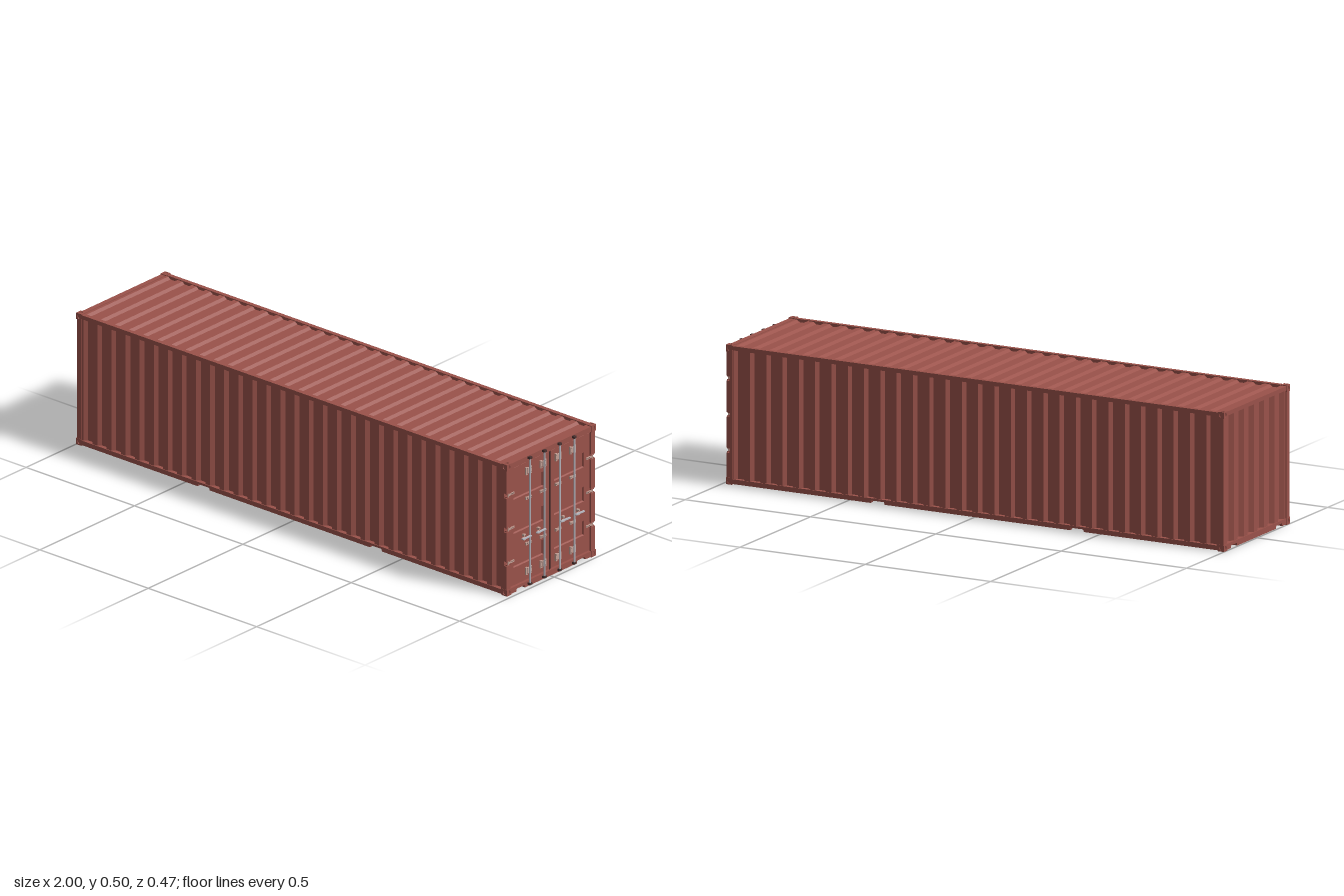
import * as THREE from 'three';

const paint = new THREE.MeshStandardMaterial({ color: 0x9a524a });
const steel = new THREE.MeshStandardMaterial({ color: 0xb8b8c0 });
const fitting = new THREE.MeshStandardMaterial({ color: 0xc4a095 });
const dark = new THREE.MeshStandardMaterial({ color: 0x4a3230 });

const W = 0.234, X0 = -1, X1 = 0.987, MID = (X0 + X1) / 2;

function add(parent, name, geo, mat = paint) {
  const m = new THREE.Mesh(geo, mat);
  m.name = name;
  parent.add(m);
  return m;
}

// Box given by its min and max on each axis
function box(parent, name, x0, x1, y0, y1, z0, z1, mat = paint) {
  const g = new THREE.BoxGeometry(Math.abs(x1 - x0), Math.abs(y1 - y0), Math.abs(z1 - z0));
  return add(parent, name, g.translate((x0 + x1) / 2, (y0 + y1) / 2, (z0 + z1) / 2), mat);
}

function extrude(shape, depth, extra = {}) {
  return new THREE.ExtrudeGeometry(shape, { depth, bevelEnabled: false, curveSegments: 10, ...extra });
}

// Trapezoid sheet: ridges at v = 0, valleys at v = -deep, extruded along z
function corrugated(length, span, n, deep) {
  const s = new THREE.Shape(), p = length / n, back = -deep - 0.004;
  s.moveTo(-length / 2, back);
  s.lineTo(length / 2, back);
  s.lineTo(length / 2, 0);
  for (let i = n - 1; i >= 0; i--) {
    const u = -length / 2 + i * p;
    s.lineTo(u + p * 0.83, 0);
    s.lineTo(u + p * 0.67, -deep);
    s.lineTo(u + p * 0.33, -deep);
    s.lineTo(u + p * 0.17, 0);
  }
  s.lineTo(-length / 2, 0);
  return extrude(s, span);
}

// Bottom rail with trapezoid notches cut from below
function notchedRail(u0, u1, y0, y1, notches, half, thick) {
  const s = new THREE.Shape();
  s.moveTo(u0, y0);
  for (const c of notches) {
    s.lineTo(c - half, y0);
    s.lineTo(c - half + 0.003, 0.012);
    s.lineTo(c + half - 0.003, 0.012);
    s.lineTo(c + half, y0);
  }
  s.lineTo(u1, y0);
  s.lineTo(u1, y1);
  s.lineTo(u0, y1);
  return extrude(s, thick);
}

// Corner block with oval holes in its three outer faces
function cornerCasting(sx, sy, sz) {
  const g = new THREE.Group(), a = 0.024, t = 0.003;
  g.name = 'cornerCasting';
  const plate = () => {
    const s = new THREE.Shape([[-1, -1], [1, -1], [1, 1], [-1, 1]]
      .map(([u, v]) => new THREE.Vector2(u * a / 2, v * a / 2)));
    s.holes.push(new THREE.Path().absellipse(0, 0, 0.006, 0.008, 0, Math.PI * 2, true));
    return extrude(s, t).translate(0, 0, a / 2 - t);
  };
  add(g, 'castingCore', new THREE.BoxGeometry(a - 2 * t, a - 2 * t, a - 2 * t));
  add(g, 'castingSide', plate().rotateY(sz > 0 ? 0 : Math.PI));
  add(g, 'castingEnd', plate().rotateY(sx * Math.PI / 2));
  add(g, 'castingCap', plate().rotateX(-sy * Math.PI / 2));
  g.position.set(sx > 0 ? X1 - a / 2 : X0 + a / 2, sy > 0 ? 0.488 : 0.012, sz * (W + 0.001 - a / 2));
  return g;
}

function rivet(parent, x, y, z) {
  add(parent, 'rivet', new THREE.CylinderGeometry(0.0013, 0.0013, 0.001, 8).rotateZ(Math.PI / 2).translate(x, y, z), dark);
}

// Door leaf with three bevelled recesses, facing +x
function doorLeaf(side) {
  const g = new THREE.Group();
  g.name = side > 0 ? 'leftDoor' : 'rightDoor';
  const rect = (C, a, b, c, d) => new C([[a, c], [b, c], [b, d], [a, d]].map(p => new THREE.Vector2(...p)));
  const s = rect(THREE.Shape, 0.002, 0.212, 0.024, 0.476);
  for (const y of [0.121, 0.25, 0.38]) s.holes.push(rect(THREE.Path, 0.025, 0.178, y - 0.025, y + 0.025));
  const geo = extrude(s, 0.002, {
    bevelEnabled: true, bevelThickness: 0.005, bevelSize: 0.003, bevelOffset: -0.003, bevelSegments: 1
  });
  geo.translate(side > 0 ? -0.214 : 0, 0, 0).rotateY(Math.PI / 2).translate(0.973, 0, 0);
  add(g, 'doorPanel', geo);
  box(g, 'recessBacking', 0.966, 0.973, 0.026, 0.474, side * 0.004, side * 0.21);

  // Locking rods, guides and handles
  for (const rz of [0.04, 0.117]) {
    const z = side * rz;
    add(g, 'lockingRod', new THREE.CylinderGeometry(0.0035, 0.0035, 0.482, 12).translate(0.991, 0.252, z), steel);
    for (const y of [0.012, 0.491]) box(g, 'rodKeeper', 0.982, 0.996, y - 0.004, y + 0.004, z - 0.006, z + 0.006, dark);
    for (const [y, h] of [[0.441, 0.014], [0.061, 0.014], [0.338, 0.005], [0.165, 0.005]]) {
      for (const e of [-1, 1]) {
        const bz = z + e * 0.0105;
        box(g, 'rodBracket', 0.979, 0.986, y - h, y + h, bz - 0.0045, bz + 0.0045, fitting);
        for (const o of h > 0.01 ? [-0.009, 0.009] : [0]) rivet(g, 0.9862, y + o, bz);
      }
      box(g, 'rodGuide', 0.98, 0.9865, y - h * 0.7, y + h * 0.7, z - 0.007, z + 0.007, fitting);
    }
    // Handle reaches away from its rod toward the free space of the leaf
    const end = side * (rz < 0.1 ? 0.088 : 0.163), catchZ = side * (rz < 0.1 ? 0.065 : 0.142);
    box(g, 'doorHandle', 0.992, 1, 0.194, 0.198, z, end, steel);
    for (const y of [0.189, 0.203]) {
      box(g, 'handleCatch', 0.979, 0.99, y - 0.004, y + 0.004, catchZ - 0.005, catchZ + 0.005, fitting);
      rivet(g, 0.9902, y, catchZ);
    }
  }

  // Hinges
  for (const y of [0.122, 0.25, 0.38]) {
    box(g, 'hingeStrap', 0.979, 0.983, y - 0.004, y + 0.004, side * 0.19, side * 0.222, fitting);
    for (const z of [0.194, 0.2, 0.206]) rivet(g, 0.9832, y, side * z);
    add(g, 'hingePin', new THREE.CylinderGeometry(0.003, 0.003, 0.017, 10).translate(0.982, y, side * 0.222), fitting);
    for (const e of [-1, 1]) box(g, 'hingeLug', 0.97, 0.984, y + e * 0.005, y + e * 0.008, side * 0.213, side * 0.23);
  }
  return g;
}

export function createModel() {
  const root = new THREE.Group();
  root.name = 'shippingContainer';

  for (const sx of [-1, 1]) for (const sy of [-1, 1]) for (const sz of [-1, 1]) root.add(cornerCasting(sx, sy, sz));

  // Side walls, rails and posts
  for (const s of [-1, 1]) {
    const wall = corrugated(1.95, 0.464, 30, 0.013).rotateX(-Math.PI / 2);
    if (s > 0) wall.rotateY(Math.PI);
    add(root, 'sideWall', wall.translate(MID, 0.018, s * (W - 0.003)));
    box(root, 'topSideRail', X0 + 0.02, X1 - 0.02, 0.482, 0.497, s * 0.218, s * W);
    add(root, 'bottomSideRail', notchedRail(X0 + 0.02, X1 - 0.02, 0.003, 0.02, [-0.413, 0.382], 0.028, 0.016)
      .translate(0, 0, s > 0 ? W - 0.016 : -W));
    box(root, 'rearPost', X0 + 0.002, X0 + 0.024, 0.02, 0.48, s * 0.212, s * W);
    box(root, 'doorPost', 0.96, 0.972, 0.02, 0.48, s * 0.213, s * W);
    // Door post face, interrupted at the hinges
    const cuts = [0.02, 0.113, 0.131, 0.241, 0.259, 0.371, 0.389, 0.48];
    for (let i = 0; i < cuts.length; i += 2) box(root, 'doorPostFace', 0.972, 0.985, cuts[i], cuts[i + 1], s * 0.213, s * W);
  }

  // Roof, floor and rear end wall
  add(root, 'roof', corrugated(1.95, 0.44, 30, 0.008).translate(MID, 0.494, -0.22));
  box(root, 'floor', X0 + 0.01, X1 - 0.015, 0.0135, 0.019, -0.222, 0.222);
  add(root, 'rearWall', corrugated(0.43, 0.464, 6, 0.015).rotateX(-Math.PI / 2).rotateY(Math.PI / 2)
    .translate(X0 + 0.005, 0.018, 0));

  // End headers and notched sills
  for (const [x0, x1, low] of [[X0 + 0.002, X0 + 0.02, 0.482], [0.965, 0.985, 0.477]]) {
    box(root, 'endHeader', x0, x1, low, 0.497, -0.213, 0.213);
    add(root, 'endSill', notchedRail(-0.213, 0.213, 0.002, 0.023, [-0.16, 0.16], 0.023, x1 - x0)
      .rotateY(Math.PI / 2).translate(x0, 0, 0));
  }

  // Doors and the seal between them
  root.add(doorLeaf(1), doorLeaf(-1));
  box(root, 'doorSeal', 0.966, 0.981, 0.024, 0.476, -0.002, 0.002, dark);
  return root;
}
